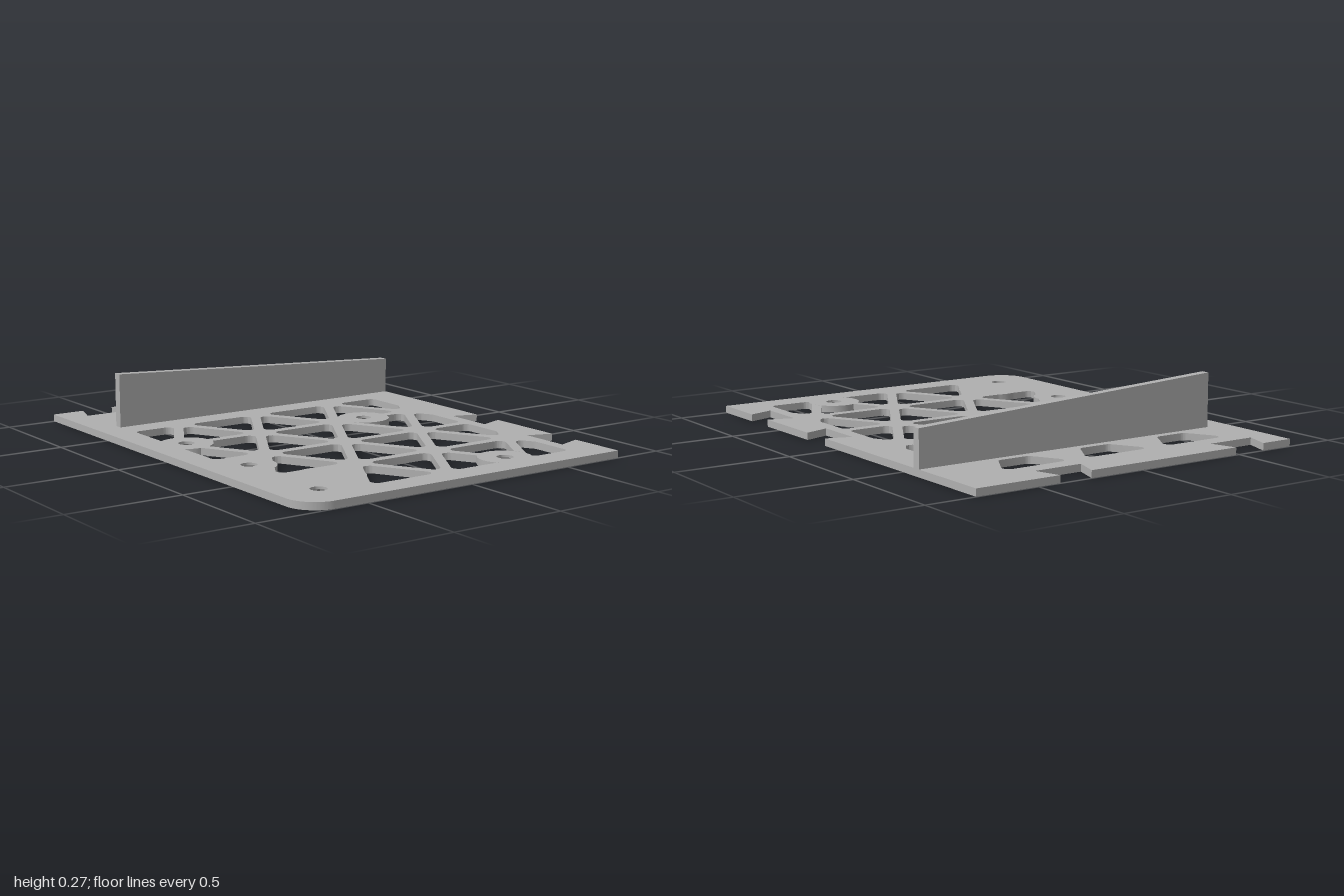
import * as THREE from 'three';
import { toCreasedNormals } from 'three/addons/utils/BufferGeometryUtils.js';

const T = 0.031;                       // plate thickness
const PITCH = 0.4, COL = PITCH * Math.sqrt(3) / 2;
const RIB = 0.021;                     // half width of a lattice rib
const SCREWS = [[-0.144, -0.325], [0.818, -0.325], [-0.144, 0.597], [0.337, 0.597], [0.818, 0.597]];
const PAD = [0.67, 0.438];
const BOSSES = [...SCREWS.map(([x, z]) => [x, z, 0.114]), [...PAD, 0.143]];

const V = (x, z) => new THREE.Vector2(x, z);

// keep the part of a polygon where axis * sign <= limit * sign
function clip(pts, axis, sign, limit) {
  const out = [];
  pts.forEach((a, i) => {
    const b = pts[(i + 1) % pts.length];
    const da = sign * (a[axis] - limit), db = sign * (b[axis] - limit);
    if (da <= 0) out.push(a);
    if (da * db < 0) out.push(a.clone().lerp(b, da / (da - db)));
  });
  return out;
}

// round every corner with an arc
function round(pts, radius) {
  const out = [], n = pts.length;
  pts.forEach((p, i) => {
    const u = pts[(i + n - 1) % n].clone().sub(p), v = pts[(i + 1) % n].clone().sub(p);
    const room = 0.48 * Math.min(u.length(), v.length());
    u.normalize(); v.normalize();
    const half = Math.acos(u.dot(v)) / 2;
    const r = Math.min(radius, room * Math.tan(half)), t = r / Math.tan(half);
    const c = u.clone().add(v).normalize().multiplyScalar(r / Math.sin(half)).add(p);
    const a = u.multiplyScalar(t).add(p).sub(c), b = v.multiplyScalar(t).add(p).sub(c);
    for (let s = 0; s <= 6; s++) out.push(a.clone().lerp(b, s / 6).setLength(r).add(c));
  });
  return out;
}

// push the outline of a hole out of the round bosses
function avoidBosses(pts) {
  const inside = (p, [x, z, r]) => Math.hypot(p.x - x, p.y - z) < r;
  const dense = [];
  pts.forEach((a, i) => {
    const b = pts[(i + 1) % pts.length];
    const n = Math.max(1, Math.ceil(a.distanceTo(b) / 0.008));
    for (let s = 0; s < n; s++) dense.push(a.clone().lerp(b, s / n));
  });
  if (!BOSSES.some(boss => dense.some(p => inside(p, boss)))) return pts;
  for (const boss of BOSSES) {
    const c = V(boss[0], boss[1]);
    for (const p of dense) if (inside(p, boss)) p.sub(c).setLength(boss[2]).add(c);
  }
  return dense.filter((p, i) => p.distanceTo(dense[(i + 1) % dense.length]) > 1e-4);
}

// rounded triangular openings of the lattice
function latticeHoles() {
  const holes = [], solidFrom = [9, 9, 9, 0.6, 0.4];
  const h = PITCH / 2 - RIB * Math.sqrt(3);
  for (let k = 0; k < 5; k++) {
    const x0 = -0.832 + k * COL, x1 = x0 + COL;
    for (const left of [true, false]) {
      if (k === 0 && !left) continue;
      const shift = (k % 2 === 0) === left ? 0 : -PITCH / 2;
      for (let j = -2; j <= 2; j++) {
        const z = 0.033 + shift + j * PITCH;
        if (Math.abs(z) > 0.7 || z > solidFrom[k]) continue;
        const base = left ? x0 + RIB : x1 - RIB, tip = left ? x1 - 2 * RIB : x0 + 2 * RIB;
        let pts = [V(base, z - h), V(tip, z), V(base, z + h)];
        pts = clip(pts, 'y', -1, -0.616);
        pts = clip(pts, 'y', 1, 0.664);
        if (k === 0) pts = clip(pts, 'x', 1, -0.653);
        holes.push(new THREE.Path(avoidBosses(round(pts, 0.028))));
      }
    }
  }
  return holes;
}

// outer outline with dovetail notches and one rounded corner
function plateShape() {
  const s = new THREE.Shape();
  s.moveTo(-1, -0.78);
  for (const c of [0.174, 0.674]) {
    s.lineTo(c - 0.073, -0.78); s.lineTo(c - 0.11, -0.67);
    s.lineTo(c + 0.11, -0.67); s.lineTo(c + 0.073, -0.78);
  }
  s.lineTo(1, -0.78);
  s.lineTo(1, 0.652);
  s.absarc(0.872, 0.652, 0.128, 0, Math.PI / 2, false);
  s.lineTo(-1, 0.78);
  for (const c of [0.558, -0.325]) {
    s.lineTo(-1, c + 0.074); s.lineTo(-0.887, c + 0.11);
    s.lineTo(-0.887, c - 0.11); s.lineTo(-1, c - 0.074);
  }
  s.closePath();
  s.holes.push(...latticeHoles());
  for (const [x, z] of SCREWS) s.holes.push(new THREE.Path().absarc(x, z, 0.062, 0, Math.PI * 2, true));
  return s;
}

export function createModel() {
  const group = new THREE.Group();
  const grey = new THREE.MeshStandardMaterial({ color: 0xb0b0b0 });
  grey.name = 'grey';
  const add = (name, geometry) => {
    const mesh = new THREE.Mesh(geometry, grey);
    mesh.name = name;
    group.add(mesh);
    return mesh;
  };

  // lattice plate
  const plate = new THREE.ExtrudeGeometry(plateShape(), { depth: T, bevelEnabled: false, curveSegments: 16 });
  plate.rotateX(Math.PI / 2).translate(0, T, 0);
  add('latticePlate', toCreasedNormals(plate, 0.5));

  // screw holes, countersunk from below
  const sink = [V(0.062, 0), V(0.034, 0.02), V(0.034, T), V(0.062, T)].reverse();
  const ring = toCreasedNormals(new THREE.LatheGeometry(sink.reverse(), 32), 0.5);
  // wind the ring so that it faces the hole
  const pos = ring.attributes.position, nor = ring.attributes.normal;
  let facing = 0;
  for (let i = 0; i < pos.count; i++) if (pos.getY(i) > T - 1e-6) facing += nor.getY(i);
  if (facing < 0) {
    for (const a of [pos, nor]) for (let i = 0; i < a.count; i += 3) {
      const p = new THREE.Vector3().fromBufferAttribute(a, i), q = new THREE.Vector3().fromBufferAttribute(a, i + 2);
      a.setXYZ(i, q.x, q.y, q.z);
      a.setXYZ(i + 2, p.x, p.y, p.z);
    }
    for (let i = 0; i < nor.count; i++) nor.setXYZ(i, -nor.getX(i), -nor.getY(i), -nor.getZ(i));
  }
  SCREWS.forEach(([x, z]) => add('countersunkHole', ring).position.set(x, 0, z));

  // round foot pad set flush in the underside
  add('footPad', new THREE.CylinderGeometry(0.1, 0.1, 0.005, 40).translate(PAD[0], 0.002, PAD[1]));

  // upright fin with a sloping top
  const fin = new THREE.BoxGeometry(0.038, 1, 1.45).translate(-0.598, 0.5, -0.055);
  const fp = fin.attributes.position;
  for (let i = 0; i < fp.count; i++) {
    const top = 0.19 + 0.076 * (fp.getZ(i) + 0.78) / 1.45;
    fp.setY(i, fp.getY(i) > 0.5 ? top : T - 0.005);
  }
  fin.computeVertexNormals();
  add('uprightFin', fin);

  return group;
}
